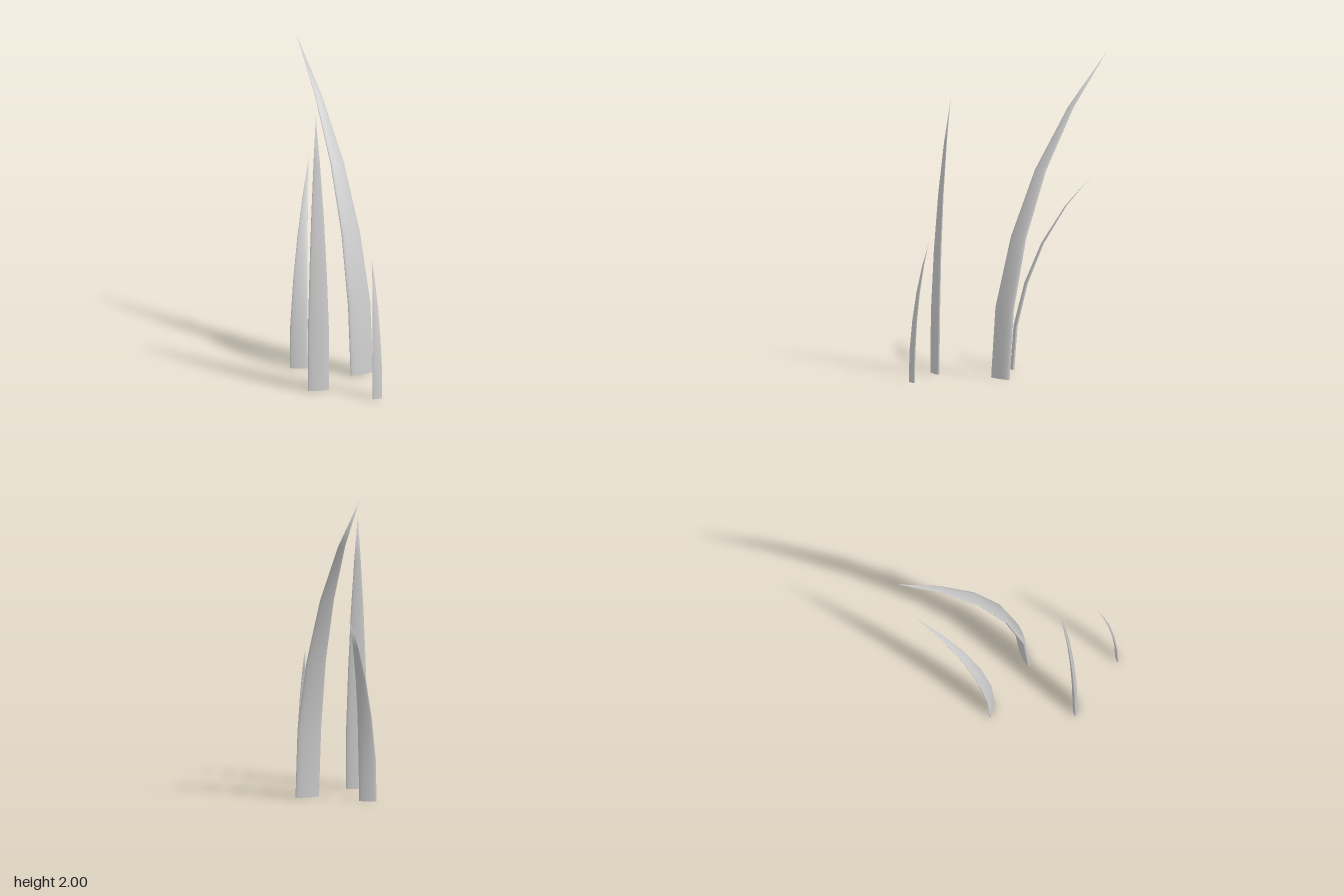
import * as THREE from 'three';
import { mergeVertices } from 'three/addons/utils/BufferGeometryUtils.js';

const SIDES = 24;
// Shared blade profile, from root to tip: height, forward lean and width as fractions
const RISE = [0, 0.22, 0.44, 0.645, 0.835, 1];
const LEAN = [0, 0.04, 0.17, 0.375, 0.66, 1];
const TAPER = [1, 1, 0.82, 0.59, 0.3, 0];

const material = new THREE.MeshStandardMaterial({ color: 0xcccccc });

// Curved blade with a flat oval section; yaw turns the section about y
function makeBlade({ name, root, tip, width, depth, yaw }) {
  const segments = RISE.length - 1;
  const geo = new THREE.CylinderGeometry(0, 1, 1, SIDES, segments, true);
  const pos = geo.attributes.position;
  const c = Math.cos(yaw), s = Math.sin(yaw);
  for (let i = 0; i < pos.count; i++) {
    const k = Math.round((pos.getY(i) + 0.5) * segments);
    const angle = Math.atan2(pos.getX(i), pos.getZ(i));
    const u = k < segments ? Math.sin(angle) * width * TAPER[k] : 0;
    const v = k < segments ? Math.cos(angle) * depth * TAPER[k] : 0;
    pos.setXYZ(i,
      root[0] + (tip[0] - root[0]) * LEAN[k] + u * c + v * s,
      tip[1] * RISE[k],
      root[1] + (tip[2] - root[1]) * LEAN[k] - u * s + v * c);
  }
  // Weld the seam for smooth normals all round
  geo.deleteAttribute('uv');
  geo.deleteAttribute('normal');
  const smooth = mergeVertices(geo);
  smooth.computeVertexNormals();

  // Flat underside
  const cap = new THREE.CircleGeometry(1, SIDES)
    .scale(width, depth, 1)
    .rotateX(Math.PI / 2)
    .rotateY(yaw)
    .translate(root[0], 0, root[1]);

  const blade = new THREE.Group();
  blade.name = name;
  const body = new THREE.Mesh(smooth, material);
  body.name = name + 'Body';
  const base = new THREE.Mesh(cap, material);
  base.name = name + 'Base';
  blade.add(body, base);
  return blade;
}

export function createModel() {
  const group = new THREE.Group();
  group.name = 'grassBlades';
  const deg = Math.PI / 180;
  // root is [x, z] on the ground, tip is [x, y, z]
  const blades = [
    { name: 'tallBlade', root: [0.17, 0.115], tip: [-0.045, 2, -0.69], width: 0.084, depth: 0.02, yaw: 20 * deg },
    { name: 'uprightBlade', root: [-0.187, 0.415], tip: [-0.178, 1.75, 0.31], width: 0.068, depth: 0.015, yaw: 0 },
    { name: 'backBlade', root: [-0.182, -0.105], tip: [0.005, 1.235, -0.575], width: 0.055, depth: 0.012, yaw: -17 * deg },
    { name: 'shortBlade', root: [0.122, 0.693], tip: [0.117, 0.88, 0.575], width: 0.033, depth: 0.008, yaw: 10 * deg },
  ];
  for (const b of blades) group.add(makeBlade(b));
  return group;
}
